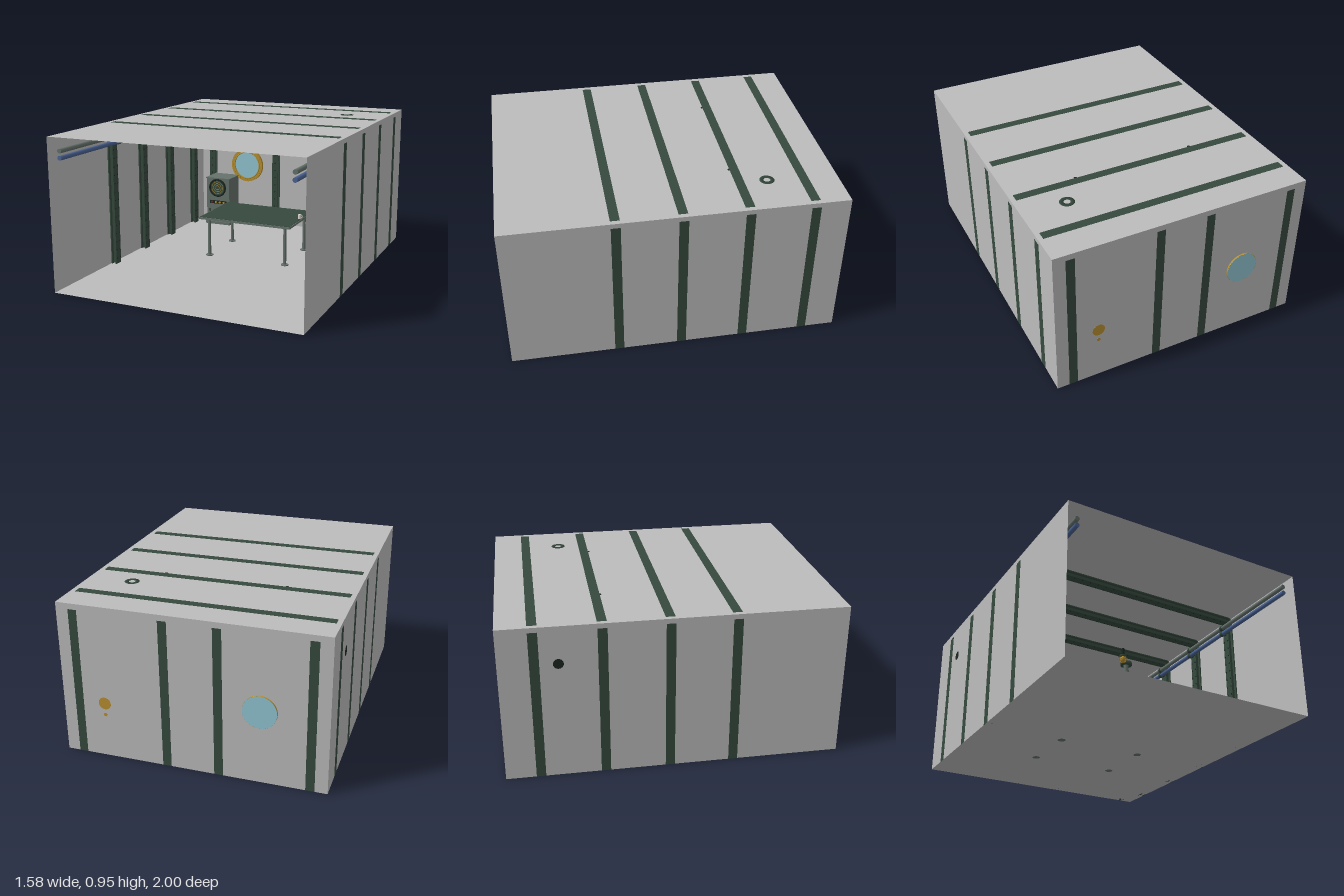
import * as THREE from 'three';
import { mergeGeometries } from 'three/addons/utils/BufferGeometryUtils.js';

const W = 0.79, H = 0.945, BACK = -0.99;

function paint(name, color, side = THREE.FrontSide) {
  const m = new THREE.MeshStandardMaterial({ color, side });
  m.name = name;
  return m;
}

export function createModel() {
  const wall = paint('wallGrey', 0xbcbcbc, THREE.DoubleSide);
  const green = paint('darkGreen', 0x364a3e);
  const steel = paint('steelGrey', 0x66726c);
  const brass = paint('brass', 0xb8902f);
  const red = paint('red', 0x8e2026);
  const blue = paint('blue', 0x4c6494);
  const glass = paint('glassBlue', 0x92c6d3);
  const ivory = paint('ivory', 0xdedbd2);
  const black = paint('blackGreen', 0x1d2721);

  const model = new THREE.Group();
  model.name = 'engineRoom';
  const group = (name, x = 0, y = 0, z = 0, parent = model) => {
    const g = new THREE.Group();
    g.name = name;
    g.position.set(x, y, z);
    parent.add(g);
    return g;
  };
  const add = (parent, name, geo, mat, x = 0, y = 0, z = 0) => {
    const m = new THREE.Mesh(geo, mat);
    m.name = name;
    m.position.set(x, y, z);
    parent.add(m);
    return m;
  };
  const box = (p, name, mat, w, h, d, x, y, z) => add(p, name, new THREE.BoxGeometry(w, h, d), mat, x, y, z);
  // cylinder along a chosen axis
  const cyl = (p, name, mat, r, len, axis, x, y, z, seg = 20) => {
    const g = new THREE.CylinderGeometry(r, r, len, seg);
    if (axis === 'x') g.rotateZ(Math.PI / 2);
    if (axis === 'z') g.rotateX(Math.PI / 2);
    return add(p, name, g, mat, x, y, z);
  };
  const torus = (p, name, mat, r, t, x, y, z) => add(p, name, new THREE.TorusGeometry(r, t, 8, 36), mat, x, y, z);

  // Room shell, open at the front
  const shell = group('roomShell');
  const depth = 1 - BACK, midZ = (1 + BACK) / 2;
  const plane = (name, w, h, rx, ry, x, y, z) => {
    add(shell, name, new THREE.PlaneGeometry(w, h), wall, x, y, z).rotation.set(rx, ry, 0);
  };
  plane('floor', 2 * W, depth, -Math.PI / 2, 0, 0, 0, midZ);
  plane('ceiling', 2 * W, depth, Math.PI / 2, 0, 0, H, midZ);
  plane('backWall', 2 * W, H, 0, 0, 0, H / 2, BACK);
  plane('rightWall', depth, H, 0, Math.PI / 2, -W, H / 2, midZ);
  plane('leftWall', depth, H, 0, -Math.PI / 2, W, H / 2, midZ);

  // Arched I-beam frames: outer flange, web and inner flange
  const archGeometry = (a, b, d) => {
    const s = new THREE.Shape();
    const run = (inset, forward) => {
      const x = W + 0.0006 - inset, y = H + 0.0006 - inset, r = Math.max(0.036 - inset, 0.004);
      const c = new THREE.Path();
      c.moveTo(-x, 0).lineTo(-x, y - r);
      c.absarc(-x + r, y - r, r, Math.PI, Math.PI / 2, true);
      c.absarc(x - r, y - r, r, Math.PI / 2, 0, true);
      c.lineTo(x, 0);
      const pts = c.getPoints(6);
      return forward ? pts : pts.reverse();
    };
    s.setFromPoints([...run(a, true), ...run(b, false)]);
    return new THREE.ExtrudeGeometry(s, { depth: d, bevelEnabled: false }).translate(0, 0, -d / 2);
  };
  const frameZ = [0.352, -0.028, -0.408, -0.787];
  const archParts = [[0, 0.008, 0.055], [0.008, 0.032, 0.018], [0.032, 0.04, 0.055]].map(p => archGeometry(...p));
  const rivets = [];
  const rivet = (x, y, z) => rivets.push(new THREE.SphereGeometry(0.005, 6, 4).translate(x, y, z));
  for (const z of frameZ) {
    const f = group('archFrame', 0, 0, z);
    archParts.forEach((g, i) => add(f, ['outerFlange', 'web', 'innerFlange'][i], g, green));
    for (const dz of [-0.018, 0.018]) {
      for (let y = 0.04; y < 0.9; y += 0.056) for (const s of [-1, 1]) rivet(s * 0.75, y, z + dz);
      for (let x = -0.7; x < 0.72; x += 0.056) rivet(x, 0.905, z + dz);
    }
  }

  // Upright ribs on the back wall
  for (const x of [-0.69, -0.158, 0.155, 0.69]) {
    const r = group('backRib', x);
    box(r, 'wallFlange', green, 0.052, 0.91, 0.008, 0, 0.455, BACK + 0.0035);
    box(r, 'web', green, 0.018, 0.91, 0.024, 0, 0.455, BACK + 0.0195);
    box(r, 'frontFlange', green, 0.046, 0.91, 0.008, 0, 0.455, BACK + 0.0355);
    for (let y = 0.04; y < 0.9; y += 0.056) rivet(x, y, BACK + 0.04);
  }
  add(model, 'rivets', mergeGeometries(rivets), black);

  // Pipes across the back wall with collars
  const pipes = group('backPipes', 0, 0, -0.925);
  const rows = [
    ['redPipe', red, 0.845, 0.013, [-0.6, -0.2, 0.35]],
    ['brassPipe', brass, 0.81, 0.018, [-0.5, 0.34, 0.72]],
    ['greyPipe', steel, 0.775, 0.011, [-0.4, 0.02, 0.27]],
    ['bluePipe', blue, 0.74, 0.016, [-0.29, 0.19, 0.205]],
  ];
  for (const [name, mat, y, r, collars] of rows) {
    cyl(pipes, name, mat, r, 1.5, 'x', 0, y, 0);
    for (const x of collars) cyl(pipes, name + 'Collar', mat, r + 0.007, 0.009, 'x', x, y, 0);
  }

  // Spoked handwheels
  const handwheel = (x, y, z, ry = 0) => {
    const g = group('handwheel', x, y, z);
    g.rotation.y = ry;
    torus(g, 'rim', red, 0.026, 0.005, 0, 0, 0);
    for (let i = 0; i < 3; i++) box(g, 'spoke', red, 0.05, 0.006, 0.006, 0, 0, 0).rotation.z = i * Math.PI / 3;
    cyl(g, 'hub', red, 0.009, 0.016, 'z', 0, 0, 0);
    cyl(g, 'stem', steel, 0.006, 0.035, 'z', 0, 0, -0.018);
  };
  for (const x of [-0.31, 0.1, 0.65]) handwheel(x, 0.845, -0.885);
  handwheel(-0.75, 0.72, -0.655, Math.PI / 2);
  cyl(model, 'handwheelFlange', black, 0.03, 0.02, 'x', -0.7805, 0.72, -0.655);

  // Pipes along both side walls with clamps
  for (const s of [-1, 1]) {
    const g = group(s < 0 ? 'rightWallPipes' : 'leftWallPipes');
    for (const [mat, y] of [[steel, 0.862], [blue, 0.82]]) {
      cyl(g, 'sidePipe', mat, 0.014, 1.85, 'z', s * 0.722, y, 0.055);
      for (const z of frameZ) {
        cyl(g, 'clamp', green, 0.018, 0.02, 'z', s * 0.722, y, z);
        box(g, 'clampFoot', green, 0.03, 0.012, 0.018, s * 0.741, y, z);
      }
    }
  }

  // Caged ceiling lamps
  for (const x of [-0.38, 0.375]) {
    const g = group('ceilingLamp', x, 0, -0.38);
    cyl(g, 'stem', black, 0.011, 0.06, 'y', 0, H - 0.0295, 0, 12);
    cyl(g, 'cap', green, 0.026, 0.012, 'y', 0, 0.884, 0);
    add(g, 'bulb', new THREE.SphereGeometry(0.019, 16, 12), brass, 0, 0.86, 0).scale.y = 1.3;
    for (let i = 0; i < 3; i++) torus(g, 'cageBar', brass, 0.025, 0.0025, 0, 0.858, 0).rotation.y = i * Math.PI / 3;
    torus(g, 'cageRing', brass, 0.025, 0.0025, 0, 0.858, 0).rotation.x = Math.PI / 2;
  }

  // Porthole
  const port = group('porthole', -0.4, 0.45, BACK);
  cyl(port, 'sleeve', brass, 0.1, 0.0095, 'z', 0, 0, -0.0048, 48);
  cyl(port, 'outerGlass', glass, 0.099, 0.001, 'z', 0, 0, -0.0095, 48);
  cyl(port, 'innerGlass', glass, 0.102, 0.004, 'z', 0, 0, 0.012, 48);
  const ring = new THREE.Shape().absarc(0, 0, 0.128, 0, Math.PI * 2);
  ring.holes.push(new THREE.Path().absarc(0, 0, 0.101, 0, Math.PI * 2, true));
  add(port, 'ring', new THREE.ExtrudeGeometry(ring, { depth: 0.022, bevelEnabled: false, curveSegments: 32 }), brass, 0, 0, 0.001);
  torus(port, 'innerLip', brass, 0.103, 0.004, 0, 0, 0.023);
  for (let i = 0; i < 12; i++) {
    const a = i * Math.PI / 6;
    cyl(port, 'bolt', brass, 0.006, 0.008, 'z', Math.cos(a) * 0.115, Math.sin(a) * 0.115, 0.026, 6);
  }

  // Control cabinet with round speaker and indicator panel
  const cab = group('cabinet', -0.57, 0, -0.885);
  box(cab, 'body', steel, 0.19, 0.345, 0.17, 0, 0.19, 0);
  box(cab, 'plinth', steel, 0.205, 0.02, 0.19, 0, 0.0105, 0);
  box(cab, 'lid', steel, 0.2, 0.008, 0.18, 0, 0.362, 0);
  cyl(cab, 'speakerPlate', green, 0.068, 0.012, 'z', 0, 0.29, 0.09, 36);
  torus(cab, 'speakerRim', black, 0.064, 0.007, 0, 0.29, 0.096);
  for (const r of [0.016, 0.032, 0.047]) torus(cab, 'speakerRing', brass, r, 0.0016, 0, 0.29, 0.096);
  box(cab, 'panel', black, 0.14, 0.024, 0.006, 0, 0.175, 0.087);
  [red, brass, brass, brass].forEach((m, i) => cyl(cab, 'indicator', m, 0.008, 0.006, 'z', -0.049 + i * 0.033, 0.175, 0.092, 14));
  for (const x of [-0.07, 0.07]) box(cab, 'slot', black, 0.004, 0.04, 0.004, x, 0.1, 0.086);

  // Table with round feet, and a mug
  const table = group('table', 0, 0, -0.235);
  box(table, 'top', steel, 0.655, 0.014, 0.46, -0.003, 0.267, 0);
  box(table, 'cover', green, 0.645, 0.003, 0.45, -0.003, 0.275, 0);
  for (const x of [-0.275, 0.275]) for (const z of [-0.185, 0.185]) {
    cyl(table, 'leg', steel, 0.011, 0.26, 'y', x, 0.13, z, 14);
    cyl(table, 'foot', steel, 0.025, 0.007, 'y', x, 0.003, z);
    cyl(table, 'bracket', steel, 0.02, 0.01, 'y', x, 0.255, z);
  }
  const mug = group('mug', 0.308, 0.29, 0, table);
  cyl(mug, 'cup', ivory, 0.012, 0.027, 'y', 0, 0, 0);
  torus(mug, 'handle', ivory, 0.008, 0.002, 0.014, 0, 0);

  // Periscope hanging from the ceiling
  const scope = group('periscope', 0.515, 0, -0.57);
  cyl(scope, 'tube', steel, 0.02, 0.485, 'y', 0, 0.7, 0, 24);
  for (const y of [0.52, 0.63, 0.74, 0.86]) cyl(scope, 'collar', steel, 0.025, 0.012, 'y', 0, y, 0, 24);
  const flange = [[0.02, -0.025], [0.044, -0.025], [0.044, 0.001], [0.02, 0.001], [0.02, -0.025]];
  add(scope, 'ceilingFlange', new THREE.LatheGeometry(flange.map(p => new THREE.Vector2(...p)), 32), green, 0, H, 0);
  cyl(scope, 'head', steel, 0.027, 0.06, 'y', 0, 0.43, 0, 24);
  cyl(scope, 'headCap', green, 0.031, 0.01, 'y', 0, 0.46, 0, 24);
  cyl(scope, 'eyepiece', black, 0.016, 0.03, 'z', 0, 0.432, 0.035);
  cyl(scope, 'handleBar', steel, 0.006, 0.16, 'x', 0, 0.425, 0, 12);
  for (const s of [-1, 1]) cyl(scope, 'grip', black, 0.009, 0.05, 'x', s * 0.068, 0.425, 0, 14);
  box(scope, 'focusKnob', brass, 0.016, 0.02, 0.016, 0.028, 0.492, 0);

  // Pressure gauge on the back wall
  const gauge = group('pressureGauge', 0.53, 0.345, BACK);
  cyl(gauge, 'case', brass, 0.038, 0.022, 'z', 0, 0, 0.0105, 32);
  cyl(gauge, 'dial', ivory, 0.032, 0.003, 'z', 0, 0, 0.022, 32);
  torus(gauge, 'bezel', brass, 0.036, 0.004, 0, 0, 0.022);
  box(gauge, 'needle', red, 0.024, 0.003, 0.002, 0.007, 0, 0.025);
  cyl(gauge, 'pivot', black, 0.003, 0.004, 'z', 0, 0, 0.025, 10);
  cyl(gauge, 'drainKnob', brass, 0.011, 0.02, 'z', 0, -0.073, 0.0095);
  return model;
}
